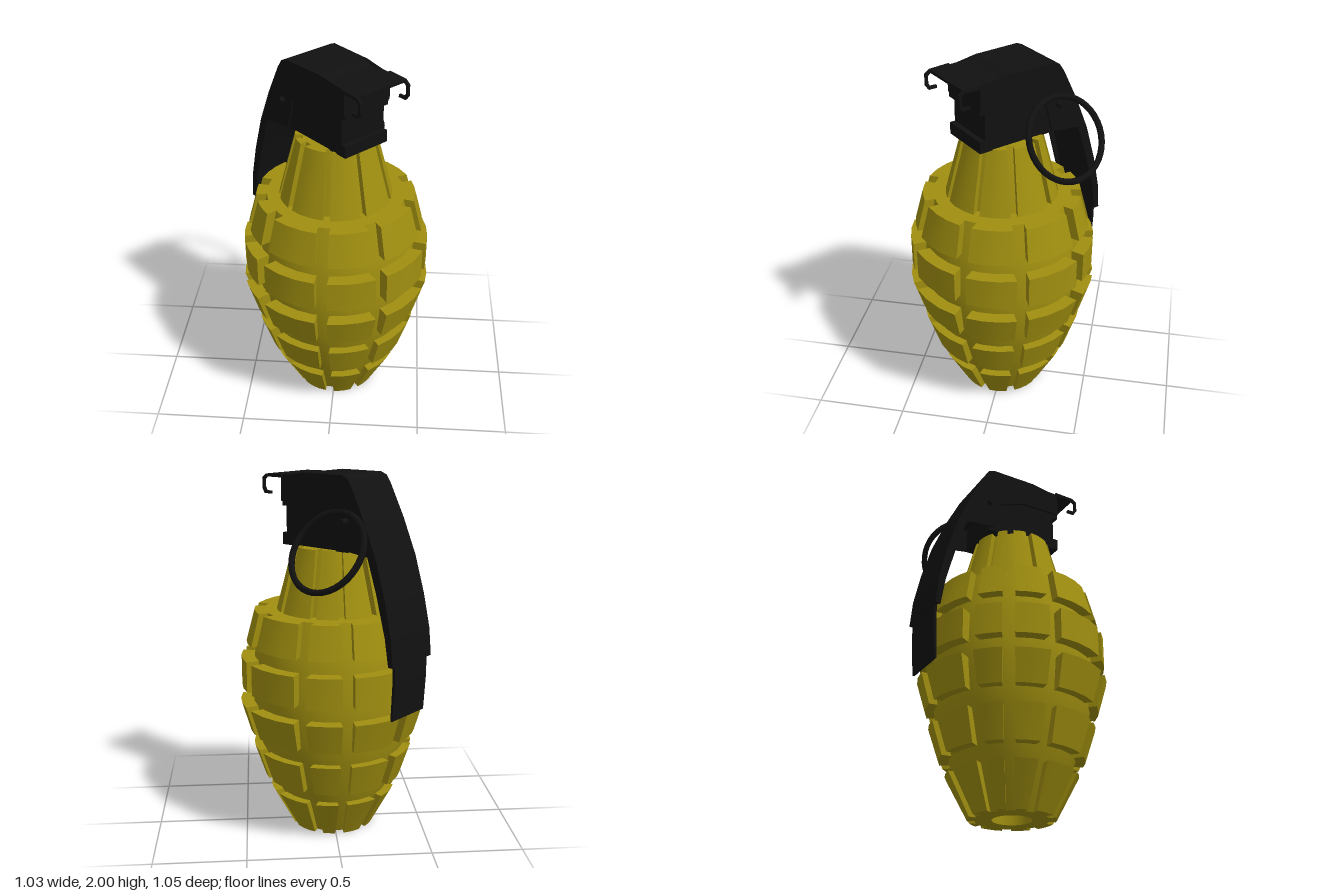
import * as THREE from 'three';
import { toCreasedNormals } from 'three/addons/utils/BufferGeometryUtils.js';

const olive = new THREE.MeshStandardMaterial({ color: 0xa08f10 });
const black = new THREE.MeshStandardMaterial({ color: 0x111111, side: THREE.DoubleSide });
const rad = THREE.MathUtils.degToRad;

function add(parent, name, geometry, material) {
  const mesh = new THREE.Mesh(geometry, material);
  mesh.name = name;
  parent.add(mesh);
  return mesh;
}

// Box bent around the y axis between two groove angles; groove walls stay parallel
function bentBlock(a, b, y0, y1, r0, r1, depth, gap) {
  const geo = new THREE.BoxGeometry(1, 1, 1, 3, 1, 1);
  const p = geo.attributes.position;
  for (let i = 0; i < p.count; i++) {
    const t = p.getY(i) + 0.5;
    const r = r0 + (r1 - r0) * t + (p.getZ(i) - 0.5) * depth;
    const inset = gap / r;
    const phi = THREE.MathUtils.lerp(a + inset, b - inset, p.getX(i) + 0.5);
    p.setXYZ(i, r * Math.sin(phi), y0 + (y1 - y0) * t, r * Math.cos(phi));
  }
  geo.computeVertexNormals();
  return geo;
}

// Side profile [along, up] extruded across the lever, centred at z
function slab(points, width, z = 0) {
  const shape = new THREE.Shape(points.map(([x, y]) => new THREE.Vector2(x, y)));
  const geo = new THREE.ExtrudeGeometry(shape, { depth: width, bevelEnabled: false });
  geo.translate(0, 0, z - width / 2);
  return geo;
}

// The lever and its flanges get wider towards the rear
function flare(geo) {
  const p = geo.attributes.position;
  for (let i = 0; i < p.count; i++) p.setZ(i, p.getZ(i) * (1.03 - 0.16 * p.getX(i)));
  geo.computeVertexNormals();
  return geo;
}

function createBody() {
  const body = new THREE.Group();
  body.name = 'body';
  body.position.z = 0.005;

  // Core with the filling hole in the base
  const profile = [
    [0, 0.3], [0.105, 0.3], [0.105, 0], [0.195, 0], [0.305, 0.225], [0.335, 0.305],
    [0.4, 0.485], [0.42, 0.575], [0.445, 0.745], [0.445, 0.83], [0.435, 1.0], [0.42, 1.08],
    [0.375, 1.26], [0.265, 1.26], [0.178, 1.61], [0, 1.61],
  ].map(([x, y]) => new THREE.Vector2(x, y));
  add(body, 'core', toCreasedNormals(new THREE.LatheGeometry(profile, 30), 0.5), olive);

  // Raised blocks: bottom, top, lower radius, upper radius, depth, half groove
  const rows = [
    [0, 0.225, 0.232, 0.352, 0.09, 0.025],
    [0.305, 0.485, 0.388, 0.447, 0.1, 0.03],
    [0.575, 0.745, 0.467, 0.517, 0.12, 0.033],
    [0.83, 1.0, 0.508, 0.508, 0.12, 0.033],
    [1.08, 1.26, 0.478, 0.43, 0.12, 0.033],
    [1.26, 1.61, 0.307, 0.215, 0.06, 0.018],
  ];
  const grooves = [-175, -138, -100, -76, -48, -5, 32, 75, 113, 156, 185].map(rad);
  rows.forEach(([y0, y1, r0, r1, depth, gap], row) => {
    for (let i = 0; i < grooves.length - 1; i++) {
      add(body, row === 5 ? 'neckRib' : 'bodyBlock',
        bentBlock(grooves[i], grooves[i + 1], y0, y1, r0, r1, depth, gap), olive);
    }
  });
  return body;
}

function createFuze() {
  const fuze = new THREE.Group();
  fuze.name = 'fuze';
  fuze.rotation.y = -Math.PI / 4;

  // Housing with a waist
  add(fuze, 'housing', slab([
    [-0.22, 1.605], [0.235, 1.605], [0.235, 1.67], [0.205, 1.67], [0.205, 1.815],
    [0.235, 1.815], [0.235, 1.97], [-0.22, 1.97],
  ], 0.285), black);

  // Lever top strip, bending down the back
  const outer = [
    [0.336, 1.98], [0.1, 1.985], [0.06, 2], [-0.2, 2], [-0.235, 1.985], [-0.265, 1.94],
    [-0.35, 1.77], [-0.43, 1.58], [-0.49, 1.38], [-0.53, 1.2], [-0.544, 1.05],
  ];
  const inner = [
    [-0.524, 1.05], [-0.51, 1.2], [-0.47, 1.38], [-0.41, 1.58], [-0.33, 1.76],
    [-0.245, 1.93], [-0.2, 1.98], [0.06, 1.98], [0.336, 1.965],
  ];
  add(fuze, 'leverStrip', flare(slab([...outer, ...inner], 0.305)), black);

  // Flat lever tail
  add(fuze, 'leverTail', slab([
    [-0.538, 1.08], [-0.538, 0.95], [-0.525, 0.75], [-0.513, 0.75], [-0.522, 0.95], [-0.522, 1.08],
  ], 0.28), black);

  // Side flanges and the curled front hooks
  for (const side of [-1, 1]) {
    add(fuze, 'leverFlange', flare(slab([
      [0.235, 1.975], ...outer.slice(2),
      [-0.515, 1.05], [-0.49, 1.2], [-0.43, 1.42], [-0.37, 1.6], [-0.2, 1.62],
      [-0.16, 1.78], [0.0, 1.84], [0.235, 1.84],
    ], 0.012, side * 0.147)), black);
    add(fuze, 'frontHook', slab([
      [0.22, 1.985], [0.335, 1.98], [0.362, 1.96], [0.362, 1.9], [0.345, 1.875], [0.3, 1.875],
      [0.3, 1.89], [0.335, 1.89], [0.348, 1.91], [0.348, 1.95], [0.33, 1.965], [0.22, 1.965],
    ], 0.014, side * 0.157), black);
  }

  // Safety pin and its hanging pull ring
  const pin = add(fuze, 'safetyPin', new THREE.CylinderGeometry(0.016, 0.016, 0.4, 10), black);
  pin.rotation.x = Math.PI / 2;
  pin.position.set(-0.23, 1.77, -0.01);
  const ring = add(fuze, 'pullRing', new THREE.TorusGeometry(0.222, 0.017, 8, 40), black);
  ring.position.set(-0.2, 1.625, -0.28);
  ring.rotation.x = rad(31);
  return fuze;
}

export function createModel() {
  const model = new THREE.Group();
  model.name = 'grenade';
  model.add(createBody(), createFuze());
  return model;
}
